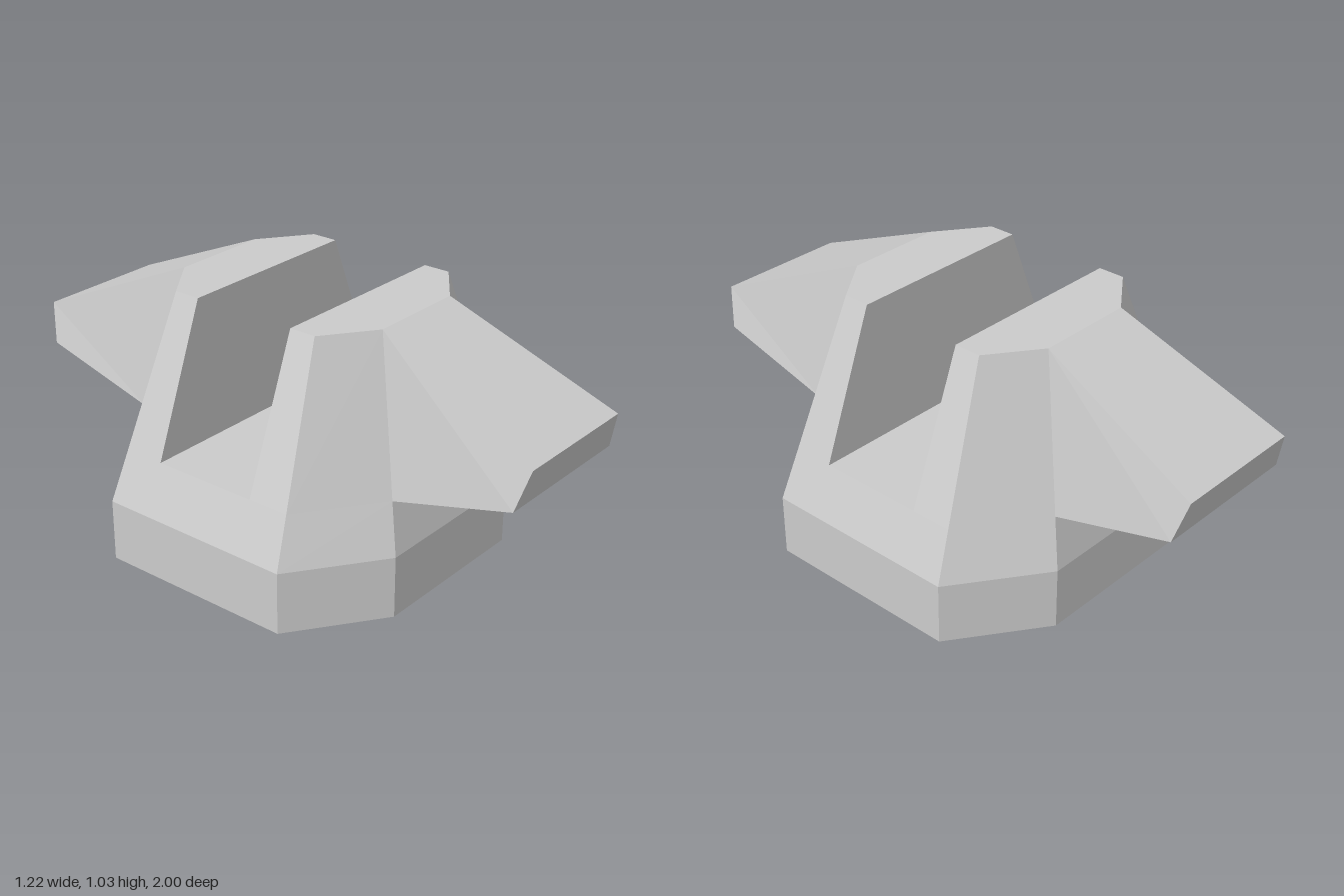
import * as THREE from 'three';

const grey = new THREE.MeshStandardMaterial({ color: 0xcccccc, flatShading: true });
const green = new THREE.MeshStandardMaterial({ color: 0x25ffc0, flatShading: true });

// Faceted skin through matching rings of [x, y, z] corners, with an optional end cap
function loft(name, rings, capEnd, material = grey) {
  const positions = [];
  const tri = (a, b, c) => positions.push(...a, ...b, ...c);
  for (let r = 0; r < rings.length - 1; r++) {
    const a = rings[r], b = rings[r + 1];
    for (let i = 0; i < a.length; i++) {
      const j = (i + 1) % a.length;
      tri(a[i], a[j], b[j]);
      tri(a[i], b[j], b[i]);
    }
  }
  if (capEnd) {
    const e = rings[rings.length - 1];
    for (let i = 1; i < e.length - 1; i++) tri(e[0], e[i], e[i + 1]);
  }
  const geometry = new THREE.BufferGeometry();
  geometry.setAttribute('position', new THREE.Float32BufferAttribute(positions, 3));
  geometry.computeVertexNormals();
  const mesh = new THREE.Mesh(geometry, material);
  mesh.name = name;
  return mesh;
}

// Eight-sided ring: side corners at (x, z), front and back corners at (x2, z2)
const octagon = (y, x, z, x2, z2) => [
  [x, y, z], [x, y, -z], [x2, y, -z2], [-x2, y, -z2],
  [-x, y, -z], [-x, y, z], [-x2, y, z2], [x2, y, z2],
];

export function createModel() {
  const model = new THREE.Group();
  model.name = 'notchedBody';
  const slotY = 0.53, topY = 1.035, slotZ = 0.19;

  // Base and lower body up to the slot floor
  const foot = octagon(0, 0.28, 0.163, 0.141, 0.264);
  model.add(loft('body', [
    foot,
    octagon(0, 0.405, 0.236, 0.203, 0.382),
    octagon(0.145, 0.61, 0.355, 0.305, 0.575),
    octagon(0.36, 0.61, 0.355, 0.305, 0.575),
    octagon(slotY, 0.543, 0.337, 0.272, 0.533),
  ], false));

  // Coloured panel underneath
  model.add(loft('bottomPanel', [foot.slice().reverse()], true, green));

  // Floor of the slot
  const floor = new THREE.Mesh(new THREE.PlaneGeometry(1.086, slotZ * 2), grey);
  floor.name = 'slotFloor';
  floor.rotation.x = -Math.PI / 2;
  floor.position.y = slotY;
  model.add(floor);

  // Matching halves in front of and behind the slot
  const prongRing = (y, x, z, x2, z2) => [
    [x, y, slotZ], [-x, y, slotZ], [-x, y, z], [-x2, y, z2], [x2, y, z2], [x, y, z],
  ];
  for (const side of ['front', 'back']) {
    const half = new THREE.Group();
    half.name = side + 'Half';
    half.add(loft(side + 'Prong', [
      prongRing(slotY, 0.543, 0.337, 0.272, 0.533),
      prongRing(topY, 0.345, 0.285, 0.175, 0.41),
    ], true));

    // Tapering horn that grows from the prong's outer face
    half.add(loft(side + 'Horn', [
      [[0.175, topY, 0.41], [-0.175, topY, 0.41], [-0.272, slotY, 0.533], [0.272, slotY, 0.533]],
      [[0.24, 0.78, 1], [-0.24, 0.78, 1], [-0.272, 0.645, 0.963], [0.272, 0.645, 0.963]],
    ], true));
    if (side === 'back') half.rotation.y = Math.PI;
    model.add(half);
  }
  return model;
}
